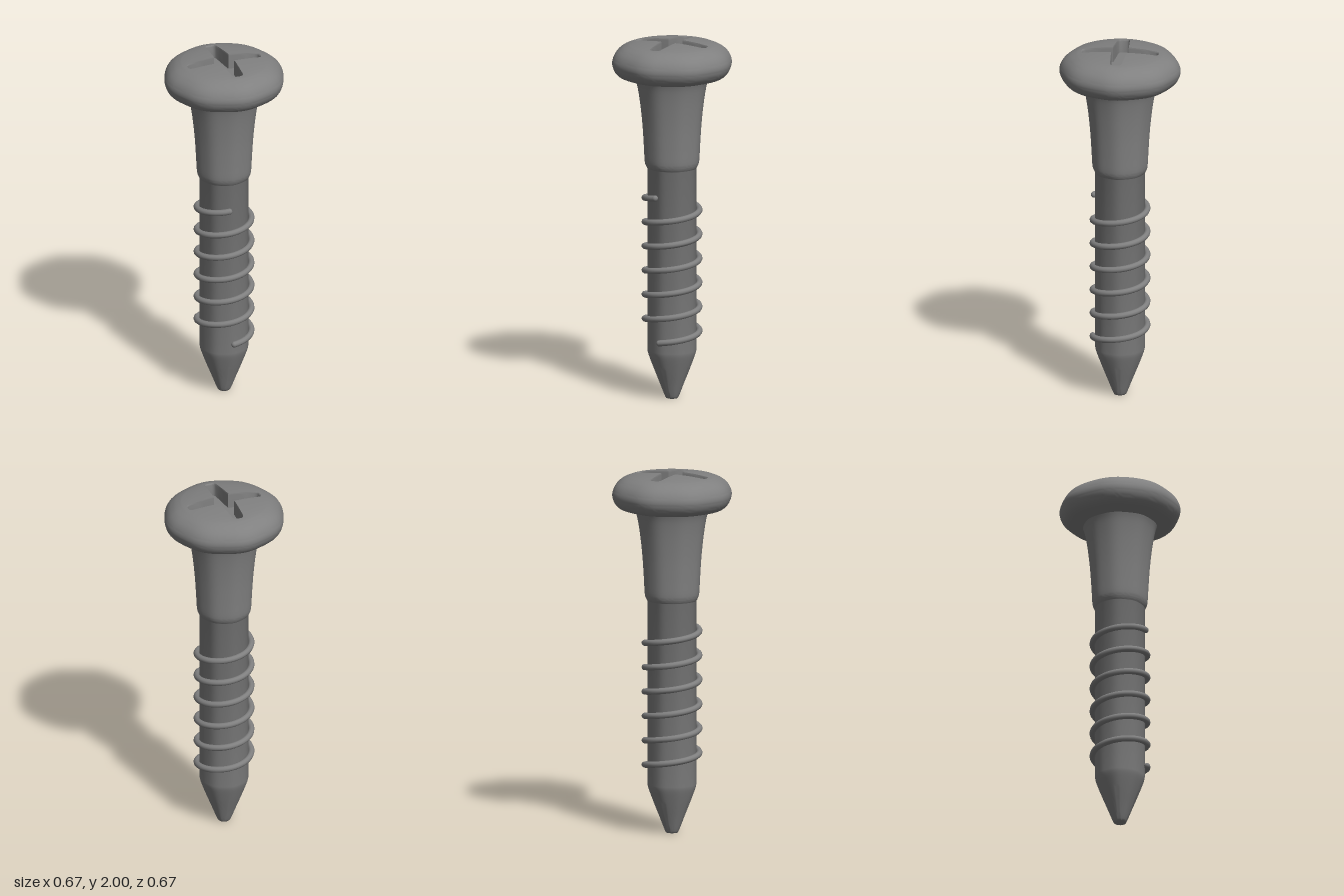
import * as THREE from 'three';
import { toCreasedNormals } from 'three/addons/utils/BufferGeometryUtils.js';

const SLOT_FLOOR = 1.91;
const DOME_EDGE = 0.235;
const v2 = ([x, y]) => new THREE.Vector2(x, y);

// Very slight eight-sided softness of the round sections
const facet = (a) => 1 - 0.01 * (1 - Math.cos(8 * a));
const domeY = (r) => 2 - 0.36 * r * r;

// Outline of the cross recess: one half arm, mirrored and turned four times
function crossOutline() {
  const half = [[0.215, 0], [0.214, 0.016], [0.209, 0.026], [0.197, 0.032]];
  for (const x of [0.15, 0.11, 0.085, 0.068, 0.055, 0.044]) {
    half.push([x, 0.032 + 0.012 * (0.197 - x) / 0.153]);
  }
  const mirrored = half.slice(1, -1).reverse().map(([x, z]) => [z, x]);
  const quarter = [...half, ...mirrored];
  const outline = [];
  for (let q = 0; q < 4; q++) {
    for (const [x, z] of quarter) {
      outline.push({ a: Math.atan2(z, x) + q * Math.PI / 2, r: Math.hypot(x, z) });
    }
  }
  return outline;
}

// Skin between rings; each ring is a function (outline point) -> [radius, y]
function skinRings(outline, rings) {
  const n = outline.length;
  const positions = [];
  const index = [];
  rings.forEach((ring, j) => outline.forEach((p, i) => {
    const [r, y] = ring(p);
    positions.push(r * Math.cos(p.a), y, r * Math.sin(p.a));
    if (j === 0) return;
    const k = (i + 1) % n;
    const a = (j - 1) * n + i, b = (j - 1) * n + k, c = j * n + i, d = j * n + k;
    index.push(a, b, c, b, d, c);
  }));
  const geometry = new THREE.BufferGeometry();
  geometry.setAttribute('position', new THREE.Float32BufferAttribute(positions, 3));
  geometry.setIndex(index);
  return toCreasedNormals(geometry, 0.7);
}

// Domed head with the opening of the recess left out
function headGeometry(outline) {
  const rings = [];
  for (const t of [0, 0.08, 0.3, 0.6, 1]) {
    rings.push((p) => {
      const r = THREE.MathUtils.lerp(p.r, DOME_EDGE, t);
      return [r, domeY(r)];
    });
  }
  const rim = new THREE.SplineCurve([
    [DOME_EDGE, domeY(DOME_EDGE)], [0.26, 1.971], [0.285, 1.958], [0.31, 1.936], [0.326, 1.91],
    [0.333, 1.885], [0.33, 1.86], [0.316, 1.83], [0.29, 1.807], [0.25, 1.793], [0.19, 1.785],
  ].map(v2));
  rim.getPoints(30).slice(1).forEach(({ x, y }, i) => {
    const blend = Math.min(1, (i + 1) / 6);
    rings.push((p) => [x * THREE.MathUtils.lerp(1, facet(p.a), blend), y]);
  });
  return skinRings(outline, rings);
}

// Flat floor, upright walls and a softened lip
function recessGeometry(outline) {
  return skinRings(outline, [
    () => [0, SLOT_FLOOR],
    (p) => [p.r * 0.96, SLOT_FLOOR],
    (p) => [p.r * 0.97, domeY(p.r) - 0.01],
    (p) => [p.r * 0.98, domeY(p.r) - 0.003],
    (p) => [p.r, domeY(p.r)],
  ]);
}

// Tip, core, shoulder and flared neck in one turned profile
function shankGeometry() {
  const tip = new THREE.SplineCurve(
    [[0.03, 0], [0.039, 0.012], [0.07, 0.09], [0.102, 0.17], [0.13, 0.245], [0.137, 0.275]].map(v2));
  const neck = new THREE.SplineCurve(
    [[0.137, 1.29], [0.144, 1.302], [0.152, 1.33], [0.157, 1.42], [0.165, 1.54],
      [0.178, 1.66], [0.193, 1.75], [0.207, 1.795]].map(v2));
  const profile = [v2([0, 0]), ...tip.getPoints(20), ...neck.getPoints(28)];
  const geometry = new THREE.LatheGeometry(profile, 64);
  const pos = geometry.attributes.position;
  for (let i = 0; i < pos.count; i++) {
    const f = facet(Math.atan2(pos.getZ(i), pos.getX(i)));
    pos.setXYZ(i, pos.getX(i) * f, pos.getY(i), pos.getZ(i) * f);
  }
  return toCreasedNormals(geometry, 0.7);
}

// Rising spiral of the thread
class Helix extends THREE.Curve {
  getPoint(t, target = new THREE.Vector3()) {
    const a = t * 5.97 * Math.PI * 2;
    return target.set(0.15 * Math.sin(a), 0.333 + 0.808 * t, 0.15 * Math.cos(a));
  }
}

export function createModel() {
  const group = new THREE.Group();
  group.name = 'screw';
  const steel = new THREE.MeshStandardMaterial({ color: 0x808080 });
  steel.name = 'grey steel';

  const add = (name, geometry) => {
    const mesh = new THREE.Mesh(geometry, steel);
    mesh.name = name;
    group.add(mesh);
    return mesh;
  };

  const outline = crossOutline();
  add('head', headGeometry(outline));
  add('crossRecess', recessGeometry(outline));
  add('shank', shankGeometry());

  const helix = new Helix();
  add('thread', new THREE.TubeGeometry(helix, 300, 0.017, 10));
  // Rounded ends of the thread
  for (const t of [0, 1]) {
    add(t ? 'threadTopEnd' : 'threadBottomEnd', new THREE.SphereGeometry(0.017, 12, 8))
      .position.copy(helix.getPoint(t));
  }
  return group;
}
